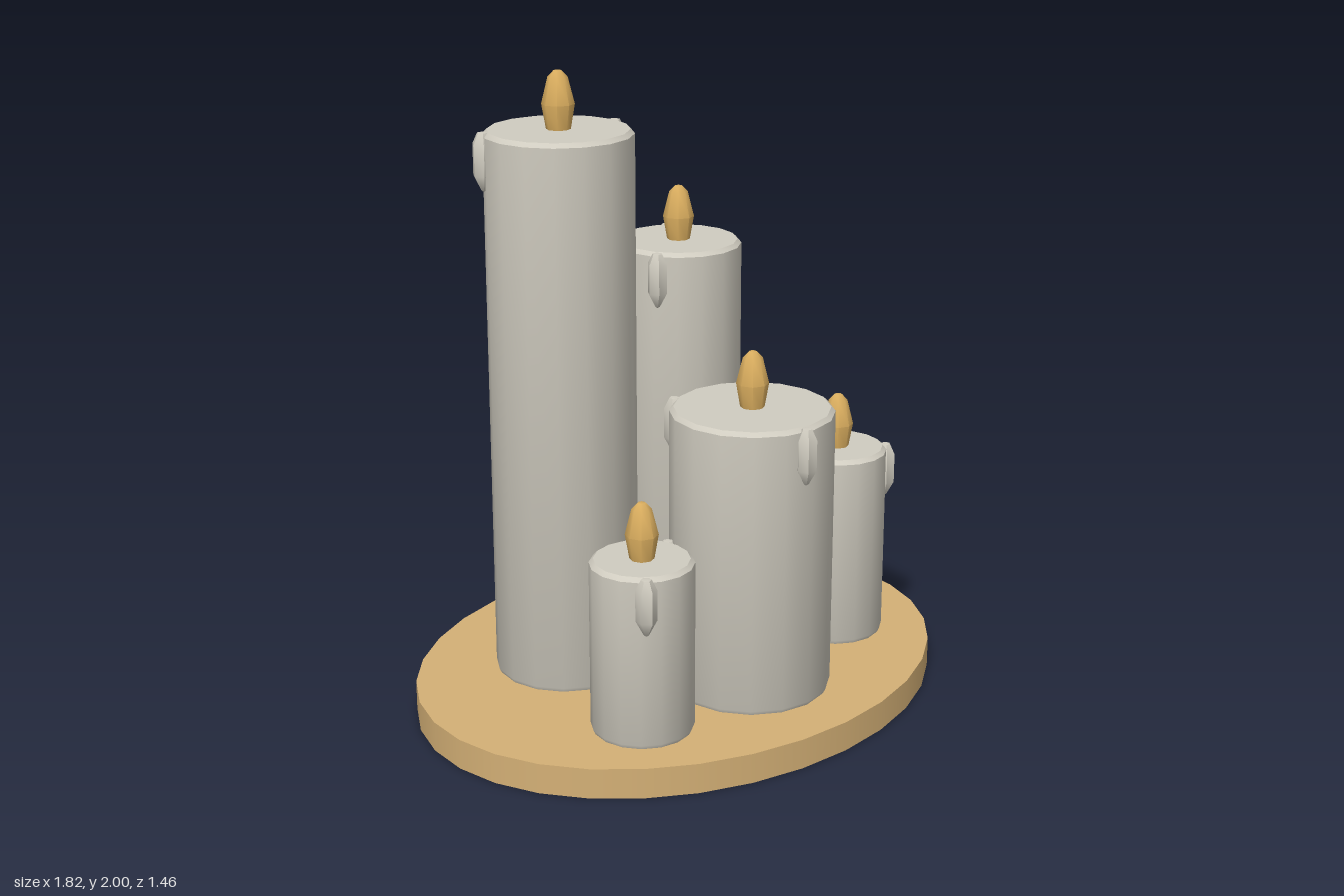
import * as THREE from 'three';
import { toCreasedNormals } from 'three/addons/utils/BufferGeometryUtils.js';

const BASE = 0.095;

// Lathe from [radius, height] pairs listed bottom to top
function turned(profile, sides, crease) {
  const points = profile.map(([r, y]) => new THREE.Vector2(r, y));
  return toCreasedNormals(new THREE.LatheGeometry(points, sides), crease);
}

function material(name, color) {
  const m = new THREE.MeshStandardMaterial({ color });
  m.name = name;
  return m;
}

export function createModel() {
  const model = new THREE.Group();
  model.name = 'candleTray';
  const wax = material('wax', 0xd0ccc0);
  const wood = material('wood', 0xd4b076);
  const gold = material('flameGold', 0xd8ac5e);

  const add = (parent, name, geometry, mat, x, y, z) => {
    const mesh = new THREE.Mesh(geometry, mat);
    mesh.name = name;
    mesh.position.set(x, y, z);
    parent.add(mesh);
    return mesh;
  };

  // Oval tray
  const trayGeo = new THREE.CylinderGeometry(1, 1, BASE, 32);
  trayGeo.scale(0.91, 1, 0.728);
  add(model, 'tray', trayGeo, wood, 0, BASE / 2, 0);

  // Shared flame and wax drip shapes
  const flameGeo = turned(
    [[0, 0], [0.037, 0], [0.05, 0.075], [0.03, 0.155], [0.012, 0.174], [0, 0.175]], 8, 0.85);
  const dripGeo = turned(
    [[0, -0.18], [0.008, -0.175], [0.032, -0.13], [0.032, -0.035], [0.016, -0.002], [0, 0]], 6, 0.6);

  // x, z, radius, top height, directions (dx, dz) of the drips
  const candles = [
    [-0.32, -0.18, 0.227, 1.825, [[49, 0], [-40, -25]]],
    [0.27, -0.275, 0.204, 1.37, [[24, -37], [-38, 19]]],
    [0, 0.32, 0.252, 1.003, [[-6, 52], [-22, -48]]],
    [-0.457, 0.315, 0.157, 0.64, [[33, -10], [-21, 26]]],
    [0.5, 0.225, 0.16, 0.73, [[26, 20], [-34, -5]]],
  ];

  candles.forEach(([x, z, r, top, drips], i) => {
    const candle = new THREE.Group();
    candle.name = 'candle' + (i + 1);
    candle.position.set(x, 0, z);
    model.add(candle);

    // Wax body with a small bevel at the rim
    const b = 0.013;
    const body = turned(
      [[0, BASE], [r - b / 2, BASE], [r, BASE + b], [r, top - b], [r - b, top], [0, top]], 16, 0.6);
    add(candle, 'waxBody', body, wax, 0, 0, 0);
    add(candle, 'flame', flameGeo, gold, 0, top, 0);

    // Drips half sunk into the side
    for (const [dx, dz] of drips) {
      const k = r / Math.hypot(dx, dz);
      add(candle, 'waxDrip', dripGeo, wax, dx * k, top, dz * k).rotation.y = -Math.atan2(dz, dx);
    }
  });

  return model;
}
